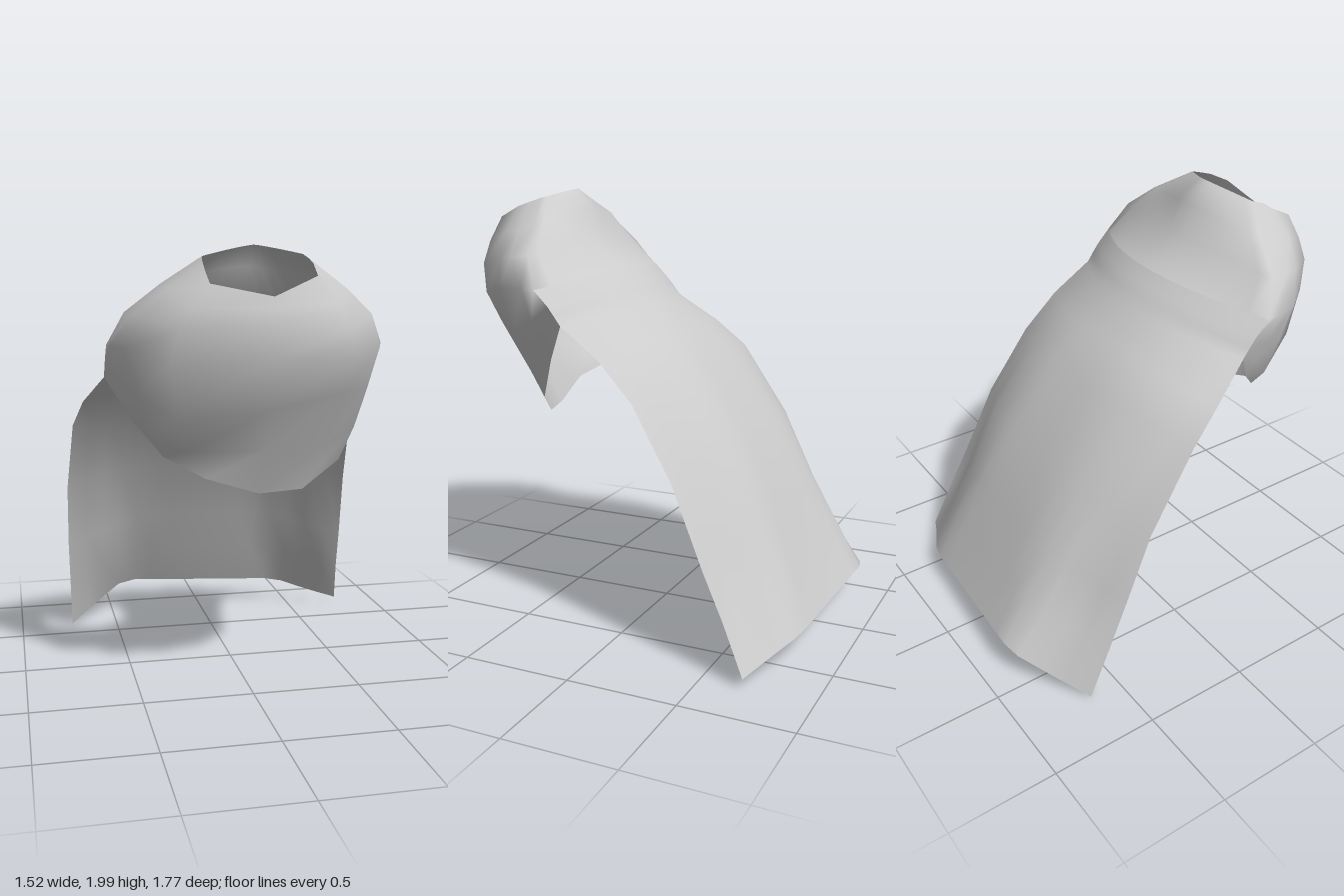
import * as THREE from 'three';
import { mergeGeometries, mergeVertices } from 'three/addons/utils/BufferGeometryUtils.js';

// Sheet through rows of points, rows top to bottom, points left to right seen from outside
function sheet(rows) {
  const n = rows[0].length, index = [];
  for (let i = 0; i < rows.length - 1; i++) {
    for (let j = 0; j < n - 1; j++) {
      const a = i * n + j, b = a + 1, c = a + n, d = c + 1;
      index.push(a, c, b, b, c, d);
    }
  }
  const g = new THREE.BufferGeometry();
  g.setAttribute('position', new THREE.Float32BufferAttribute(rows.flat(2), 3));
  g.setIndex(index);
  return g;
}

// Row across the back: straight up to the share "flat", then bending to the left and right
// edges; "skew" swings the straight stretch, "fold" tucks a crease in on either side
function backRow(left, mid, right, power, flat = 0, skew = 0, fold = 0) {
  const row = [];
  for (let k = 8; k >= -8; k--) {
    const t = k / 8, s = Math.abs(t), e = t > 0 ? left : right;
    const w = Math.pow(Math.max(0, (s - flat) / (1 - flat)), power);
    row.push([
      mid[0] + (e[0] - mid[0]) * s,
      mid[1] + (e[1] - mid[1]) * w - skew * 0.6 * t * (1 - w),
      mid[2] + (e[2] - mid[2]) * w + skew * t * (1 - w) + (k === -6 || k === 7 ? fold : 0),
    ]);
  }
  return row;
}

export function createModel() {
  const group = new THREE.Group();
  const material = new THREE.MeshStandardMaterial({ color: 0xcccccc, side: THREE.DoubleSide });

  // Mantle profiles from neck opening to hem, going from the front round to the shoulder
  const front = [[0, 1.79, .83], [0, 1.74, .85], [0, 1.68, .87], [0, 1.55, .885], [0, 1.34, .80], [0, 1.15, .69], [0, .95, .58]];
  const quarter = [[.19, 1.87, .78], [.28, 1.76, .79], [.34, 1.66, .79], [.37, 1.53, .76], [.34, 1.39, .70], [.30, 1.15, .57], [.21, .95, .52]];
  const shoulderFront = [[.20, 1.92, .68], [.36, 1.81, .65], [.46, 1.70, .62], [.53, 1.57, .585], [.49, 1.38, .54], [.46, 1.21, .47], [.40, 1.06, .44]];
  const sideFold = [[.20, 1.94, .62], [.38, 1.82, .57], [.51, 1.71, .53], [.59, 1.58, .43], [.56, 1.44, .40], [.53, 1.35, .37], [.50, 1.26, .34]];
  const shoulder = [[.19, 1.96, .56], [.38, 1.84, .48], [.53, 1.72, .43], [.6, 1.58, .36], [.6, 1.51, .29], [.6, 1.47, .26], [.6, 1.43, .23]];

  // Right front hangs as a pouch with its hem turned out
  const quarterRight = [[-.25, 1.84, .78], [-.32, 1.75, .79], [-.37, 1.66, .79], [-.40, 1.53, .75], [-.38, 1.30, .71], [-.32, 1.14, .58], [-.24, 1.03, .61]];
  const shoulderFrontRight = [[-.25, 1.89, .68], [-.40, 1.81, .65], [-.49, 1.70, .62], [-.57, 1.57, .55], [-.51, 1.38, .54], [-.47, 1.20, .50], [-.40, 1.11, .49]];

  // The right side mirrors the left one, a little wider
  const mirror = (profile) => profile.map(([x, y, z], i) => [-x - (i === 0 ? 0.05 : 0.02), y - (i === 0 ? 0.01 : 0), z]);
  const shoulderRight = mirror(shoulder);
  const columns = [
    shoulderRight, mirror(sideFold), shoulderFrontRight, quarterRight,
    front, quarter, shoulderFront, sideFold, shoulder,
  ];
  const frontRows = front.map((_, i) => columns.map((c) => c[i]));

  // Nape, from the raised back of the collar to the start of the cape
  const nape = [[0, 2, .47], [0, 1.91, .37], [0, 1.76, .34], [0, 1.64, .16]];
  const napePower = [1.2, 1.6, 1.5, 2];
  const napeRows = nape.map((m, i) => backRow(shoulder[i], m, shoulderRight[i], napePower[i]));

  const mantleGeometry = mergeVertices(mergeGeometries([sheet(frontRows), sheet(napeRows)]), 1e-4);
  mantleGeometry.computeVertexNormals();
  const mantle = new THREE.Mesh(mantleGeometry, material);
  mantle.name = 'mantle';
  group.add(mantle);

  // Cape rows, from the shoulders down to the hem
  const capeRows = [
    backRow(shoulder[3], nape[3], shoulderRight[3], 2),
    backRow(shoulder[4], [0, 1.59, .11], shoulderRight[4], 2),
    backRow(shoulder[5], [0, 1.55, .07], shoulderRight[5], 2),
    backRow(shoulder[6], [0, 1.50, .03], shoulderRight[6], 2),
    backRow([.62, 1.30, .04], [0, 1.37, -.11], [-.70, 1.30, .03], 2.2),
    backRow([.64, 1.13, -.13], [0, 1.23, -.25], [-.74, 1.17, -.12], 1.9, .2),
    backRow([.68, .82, -.33], [0, .9, -.48], [-.76, .82, -.35], 1.6, .3),
    backRow([.715, .47, -.49], [0, .59, -.64], [-.755, .5, -.47], 1.3, .4, .02, .03),
    backRow([.735, .27, -.59], [0, .37, -.745], [-.745, .25, -.56], 1.1, .5, .03, .02),
    backRow([.76, .05, -.69], [0, .155, -.86], [-.735, .01, -.65], 1, .58, .045),
  ];
  const capeGeometry = sheet(capeRows);
  capeGeometry.computeVertexNormals();
  const cape = new THREE.Mesh(capeGeometry, material);
  cape.name = 'cape';
  group.add(cape);

  return group;
}
